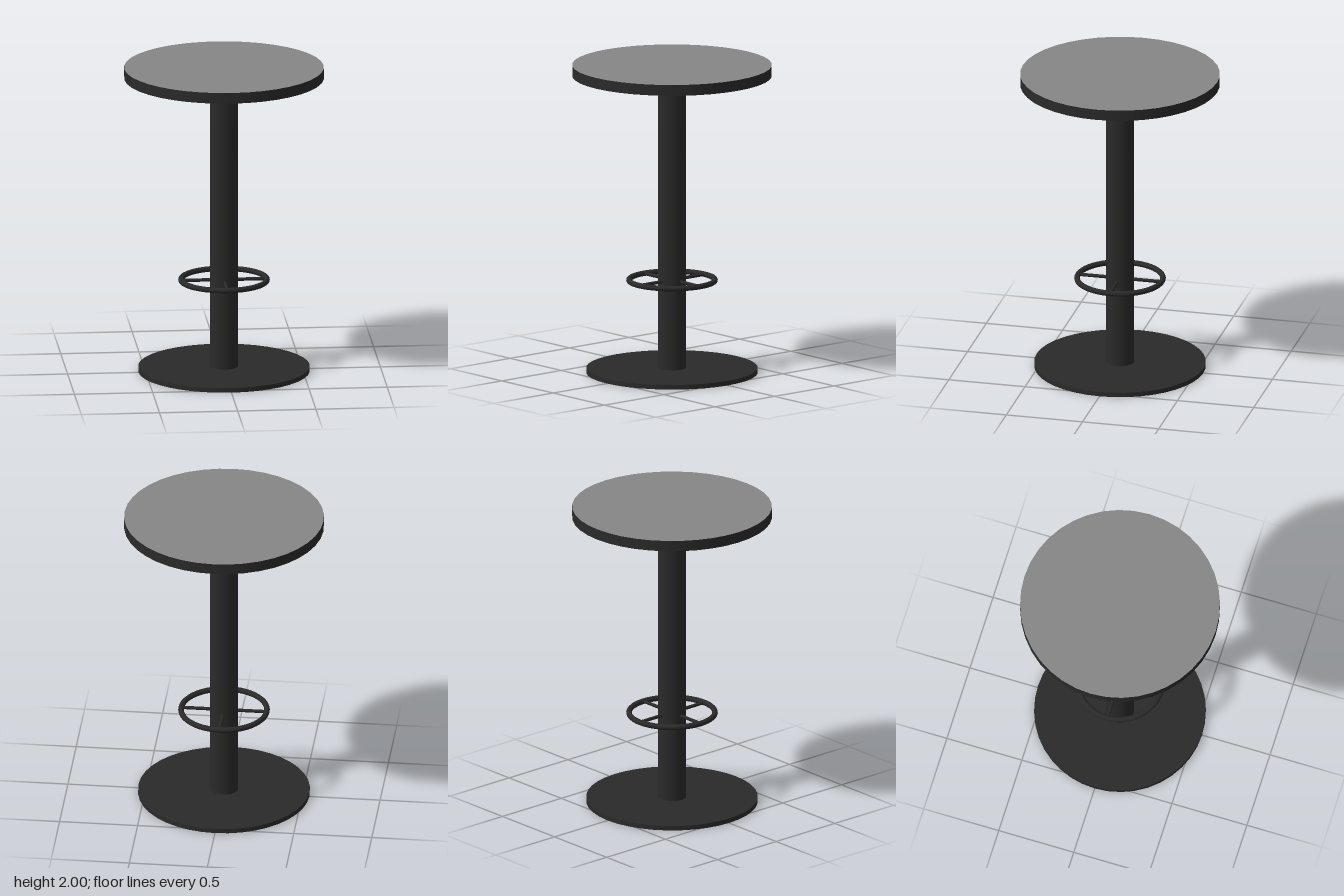
import * as THREE from 'three';

export function createModel() {
  const group = new THREE.Group();
  const black = new THREE.MeshStandardMaterial({ color: 0x2a2a2a });
  black.name = 'black metal';
  const grey = new THREE.MeshStandardMaterial({ color: 0x868686 });
  grey.name = 'grey laminate';

  const add = (name, geometry, material, y) => {
    const mesh = new THREE.Mesh(geometry, material);
    mesh.name = name;
    mesh.position.y = y;
    group.add(mesh);
    return mesh;
  };
  // Upright disc or post spanning y0 to y1
  const disc = (name, radius, y0, y1, material, segments = 40) =>
    add(name, new THREE.CylinderGeometry(radius, radius, y1 - y0, segments), material, (y0 + y1) / 2);

  // Floor plate, post and the plate under the top
  disc('base', 0.547, 0, 0.03, black);
  disc('column', 0.09, 0.03, 1.912, black, 32);
  disc('mountingPlate', 0.273, 1.912, 1.93, black);

  // Table top: black edge band, grey faces
  disc('tableTop', 0.637, 1.93, 2, [black, grey, grey]);

  // Foot ring held by four spokes
  const ringY = 0.6, ringRadius = 0.274;
  const ring = new THREE.TorusGeometry(ringRadius, 0.018, 12, 48).rotateX(Math.PI / 2);
  add('footRing', ring, black, ringY);
  const inner = 0.08;
  for (let i = 0; i < 4; i++) {
    const spoke = new THREE.CylinderGeometry(0.011, 0.011, ringRadius - inner, 10)
      .rotateZ(Math.PI / 2)
      .translate((ringRadius + inner) / 2, 0, 0)
      .rotateY((i * Math.PI) / 2);
    add('footRingSpoke' + (i + 1), spoke, black, ringY);
  }

  return group;
}
